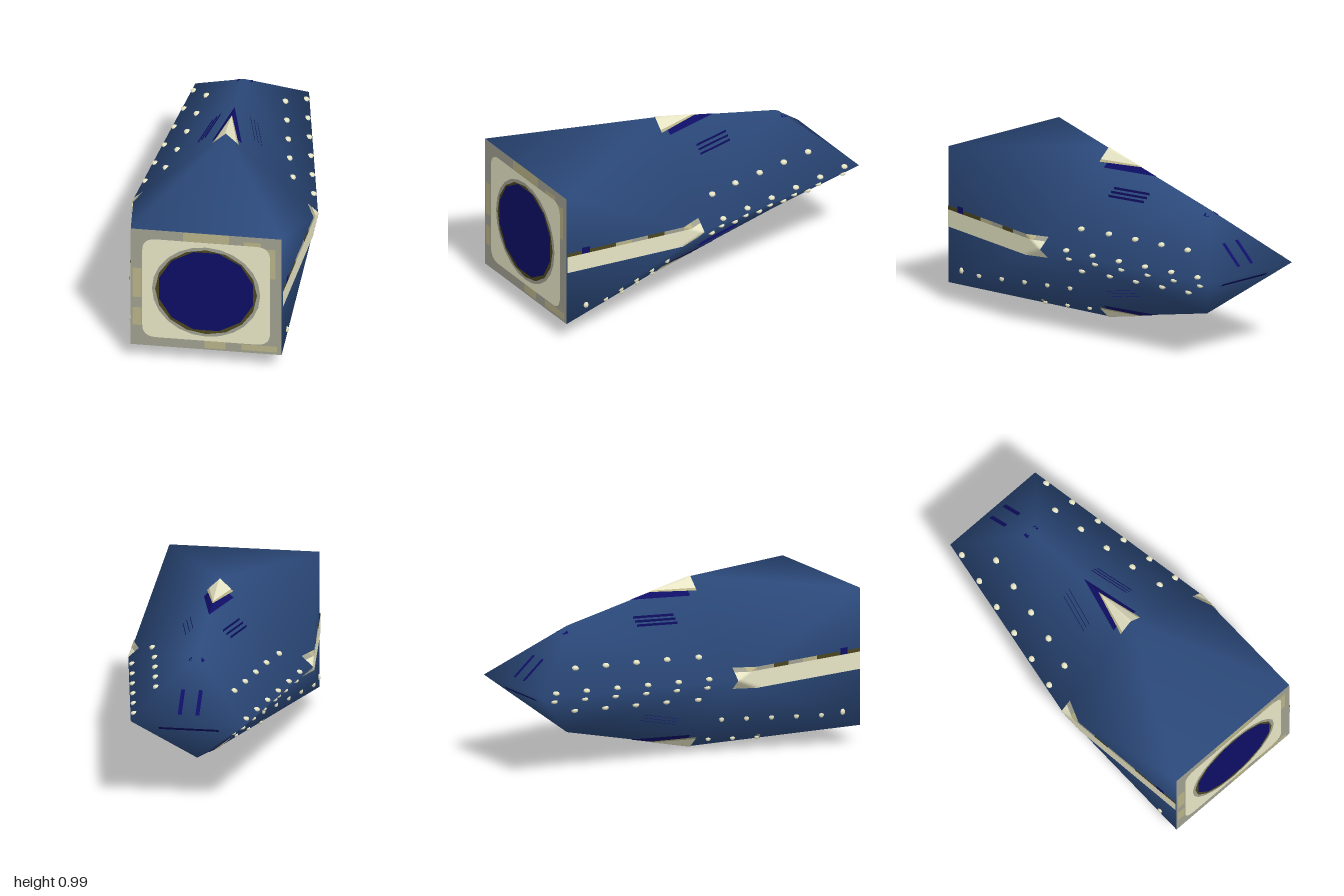
import * as THREE from 'three';
import { mergeVertices, mergeGeometries } from 'three/addons/utils/BufferGeometryUtils.js';

const MID = 0.491;  // height of the centre line
const BOW = 0.5015; // height of the bow plate's centre

function material(name, color, side = THREE.DoubleSide) {
  const m = new THREE.MeshStandardMaterial({ color, side });
  m.name = name;
  return m;
}

// Hull triangles: square bow, diamond midsection, wedge stern
function hullTriangles() {
  const v = (x, y, z) => new THREE.Vector3(x, y, z);
  const bow = (s, t) => v(0.425 * s, BOW + 0.3955 * t, 1);
  const ridge = t => v(0, MID + 0.49 * t, 0.15);
  const flank = s => v(0.52 * s, MID, 0.15);
  const stern = t => v(0, MID + 0.307 * t, -0.65);
  const tip = s => v(0.32 * s, MID, -1);
  const tris = [[bow(-1, -1), bow(1, -1), bow(1, 1)], [bow(-1, -1), bow(1, 1), bow(-1, 1)]];
  for (const s of [-1, 1]) {
    tris.push([bow(-1, s), bow(1, s), ridge(s)], [bow(s, -1), bow(s, 1), flank(s)],
      [tip(-1), tip(1), stern(s)]);
    for (const t of [-1, 1])
      tris.push([bow(s, t), ridge(t), flank(s)], [ridge(t), flank(s), stern(t)],
        [flank(s), tip(s), stern(t)]);
  }
  // Turn every corner order outward
  const centre = v(0, MID, 0), plane = new THREE.Plane();
  for (const tri of tris)
    if (plane.setFromCoplanarPoints(...tri).distanceToPoint(centre) > 0) tri.reverse();
  return tris;
}

export function createModel() {
  const group = new THREE.Group();
  const blue = material('hull blue', 0x2c4a7c, THREE.FrontSide);
  const navy = material('navy', 0x0e0e66);
  const cream = material('cream', 0xf4f2d0);
  const grey = material('grey', 0xa0a090);
  const khaki = material('khaki', 0xb8b288);
  const olive = material('olive', 0x4a451f);

  function add(name, geometry, mat) {
    const mesh = new THREE.Mesh(geometry, mat);
    mesh.name = name;
    group.add(mesh);
  }

  const tris = hullTriangles();
  const hull = mergeVertices(new THREE.BufferGeometry().setFromPoints(tris.flat()), 1e-4);
  hull.computeVertexNormals();
  add('hull', hull, blue);

  // Drop a point onto the hull along one axis, from the given side
  const facets = tris.map(t => ({ tri: new THREE.Triangle(...t), plane: new THREE.Plane().setFromCoplanarPoints(...t) }));
  const bary = new THREE.Vector3();
  function onHull(p, axis, sign, lift) {
    let best = 0;
    for (const { tri, plane } of facets) {
      const n = plane.normal[axis] * sign;
      if (n < 1e-4) continue;
      p[axis] = 0;
      const reach = -plane.distanceToPoint(p) / n;
      p[axis] = reach * sign;
      tri.getBarycoord(p, bary);
      if (Math.min(bary.x, bary.y, bary.z) > -1e-5) best = sign * reach;
    }
    p[axis] = best + sign * lift;
    return p;
  }

  // Thin patch on the hull. Corners are [z, y] for axis x and [z, x] for axis y.
  // A fin is not wrapped: it stands straight off its first edge.
  function patch(axis, sign, corners, nu = 1, nv = 1, lift = 0.004, fin = false) {
    const g = new THREE.PlaneGeometry(1, 1, nu, nv);
    const pos = g.attributes.position;
    const q = corners.map(c => new THREE.Vector2(...c));
    const p = new THREE.Vector3();
    const other = axis === 'x' ? 'y' : 'x';
    for (let i = 0; i < pos.count; i++) {
      const u = pos.getX(i) + 0.5, v = pos.getY(i) + 0.5;
      const base = q[0].clone().lerp(q[1], u);
      const e = base.clone().lerp(q[3].clone().lerp(q[2], u), v);
      p.z = e.x;
      p[other] = fin ? base.y : e.y;
      onHull(p, axis, sign, lift);
      p[other] = e.y;
      pos.setXYZ(i, p.x, p.y, p.z);
    }
    g.computeVertexNormals();
    // Turn the patch outward
    const normals = g.attributes.normal;
    const middle = Math.floor(normals.count / 2);
    if ((axis === 'x' ? normals.getX(middle) : normals.getY(middle)) * sign < 0) {
      const idx = g.index.array;
      for (let i = 0; i < idx.length; i += 3) [idx[i], idx[i + 1]] = [idx[i + 1], idx[i]];
      g.computeVertexNormals();
    }
    return g;
  }
  const rect = (a0, a1, b0, b1) => [[a0, b0], [a1, b0], [a1, b1], [a0, b1]];

  // Small rounded lamp set into the flank
  function bump(s, y, z, rx, ry, rz) {
    const p = onHull(new THREE.Vector3(0, y, z), 'x', s, 0);
    return new THREE.SphereGeometry(1, 8, 6).scale(rx, ry, rz).translate(p.x, p.y, p.z);
  }

  const windows = [], lamps = [], vents = [], bands = [];
  const trims = new Map([[grey, []], [khaki, []], [olive, []], [navy, []]]);
  for (const s of [-1, 1]) {
    // Side band with a patchy upper trim
    bands.push(patch('x', s, rect(0.152, 0.998, 0.431, 0.531), 32, 20, 0.006));
    [[0.152, 0.22, grey], [0.22, 0.28, khaki], [0.28, 0.4, grey], [0.4, 0.5, olive], [0.5, 0.6, grey],
      [0.6, 0.7, khaki], [0.7, 0.86, olive], [0.86, 0.91, navy], [0.91, 0.998, olive]].forEach(([a, b, m]) =>
      trims.get(m).push(patch('x', s, rect(a, b, 0.531, m === navy ? 0.57 : 0.553), 4, 4, 0.006)));

    // Window rows along the rear hull
    for (let i = 0; i < 6; i++) {
      const z = -0.005 - 0.18 * i;
      for (const y of i < 5 ? [0.61, 0.366] : []) windows.push(bump(s, y, z, 0.02, 0.015, 0.021));
      for (const y of [0.508, 0.457]) windows.push(bump(s, y, z, 0.02, 0.013, 0.02));
      // Lamps along the lower front hull
      lamps.push(bump(s, 0.2, 0.215 + 0.133 * i, 0.012, 0.018, 0.016));
    }
    for (const z of [0.22, 0.35, 0.48]) lamps.push(bump(s, 0.05, z, 0.012, 0.013, 0.016));

    // Vent fins: upright above, level below
    for (let k = 0; k < 3; k++) {
      const y = 0.769 + 0.019 * k, x = s * (0.15 + 0.022 * k);
      vents.push(patch('x', s, rect(-0.27, -0.04, y, y + 0.014), 4, 1, 0.002, true));
      vents.push(patch('y', -1, rect(-0.27, -0.04, x, x + s * 0.014), 4, 1, 0.002, true));
    }

    // Arrow-shaped intake on the top and bottom ridge
    add('intakeShade', patch('y', s, [[-0.24, 0], [0.1, -0.084], [0.1, 0.084], [-0.24, 0]], 6, 8, 0.002), navy);
    add('intakeRim', patch('y', s, [[-0.12, 0], [0.148, -0.074], [0.148, 0.074], [-0.12, 0]], 6, 8, 0.0035), khaki);
    add('intakePlate', patch('y', s, [[-0.1, 0], [0.148, -0.062], [0.148, 0.062], [-0.1, 0]], 6, 8, 0.005), cream);

    // Stern slits and small ports on the upper wedge
    vents.push(patch('y', 1, rect(-0.96, -0.835, s * 0.05 - 0.011, s * 0.05 + 0.011)));
    vents.push(patch('y', 1, rect(-0.695, -0.665, s * 0.035 - 0.008, s * 0.035 + 0.008)));
  }
  // Long stern slit below, and cross stripes under the bow
  vents.push(patch('y', -1, rect(-0.96, -0.94, -0.17, 0.17), 1, 8));
  const stripes = [0.48, 0.6].map(z => patch('y', -1, rect(z - 0.01, z + 0.01, -0.2, 0.2), 1, 24));

  add('windows', mergeGeometries(windows), cream);
  add('lamps', mergeGeometries(lamps), cream);
  add('vents', mergeGeometries(vents), navy);
  add('sideBands', mergeGeometries(bands), cream);
  add('bellyStripes', mergeGeometries(stripes), khaki);
  for (const [m, list] of trims) add('bandTrim', mergeGeometries(list), m);

  // Bow plate: layered flat shapes around a round opening
  let layer = 0;
  function bow(name, geometry, mat) {
    geometry.translate(0, BOW, 1.001 + 0.0012 * layer++);
    add(name, geometry, mat);
  }
  bow('bowBorder', new THREE.PlaneGeometry(0.85, 0.791), grey);
  const worn = [[0, 0.365, 0.26, 0.06], [-0.39, 0.03, 0.05, 0.2], [0.36, 0.22, 0.06, 0.2],
    [0.3, -0.36, 0.2, 0.04], [0.05, -0.36, 0.12, 0.05], [-0.39, -0.2, 0.05, 0.12], [0.26, 0.34, 0.1, 0.04]];
  bow('bowWear', mergeGeometries(worn.map(([x, y, w, h]) =>
    new THREE.PlaneGeometry(w, h).translate(x, y, 0))), khaki);
  const w = 0.36, h = 0.335, r = 0.08;
  const panel = new THREE.Shape();
  panel.moveTo(-w + r, -h).lineTo(w - r, -h).quadraticCurveTo(w, -h, w, -h + r)
    .lineTo(w, h - r).quadraticCurveTo(w, h, w - r, h).lineTo(-w + r, h)
    .quadraticCurveTo(-w, h, -w, h - r).lineTo(-w, -h + r).quadraticCurveTo(-w, -h, -w + r, -h);
  bow('bowPanel', new THREE.ShapeGeometry(panel), cream);
  bow('openingRim', new THREE.CircleGeometry(0.305, 24), grey);
  bow('openingEdge', new THREE.CircleGeometry(0.287, 16), olive);
  bow('opening', new THREE.CircleGeometry(0.274, 12, Math.PI / 12).translate(0, 0.005, 0), navy);
  return group;
}
